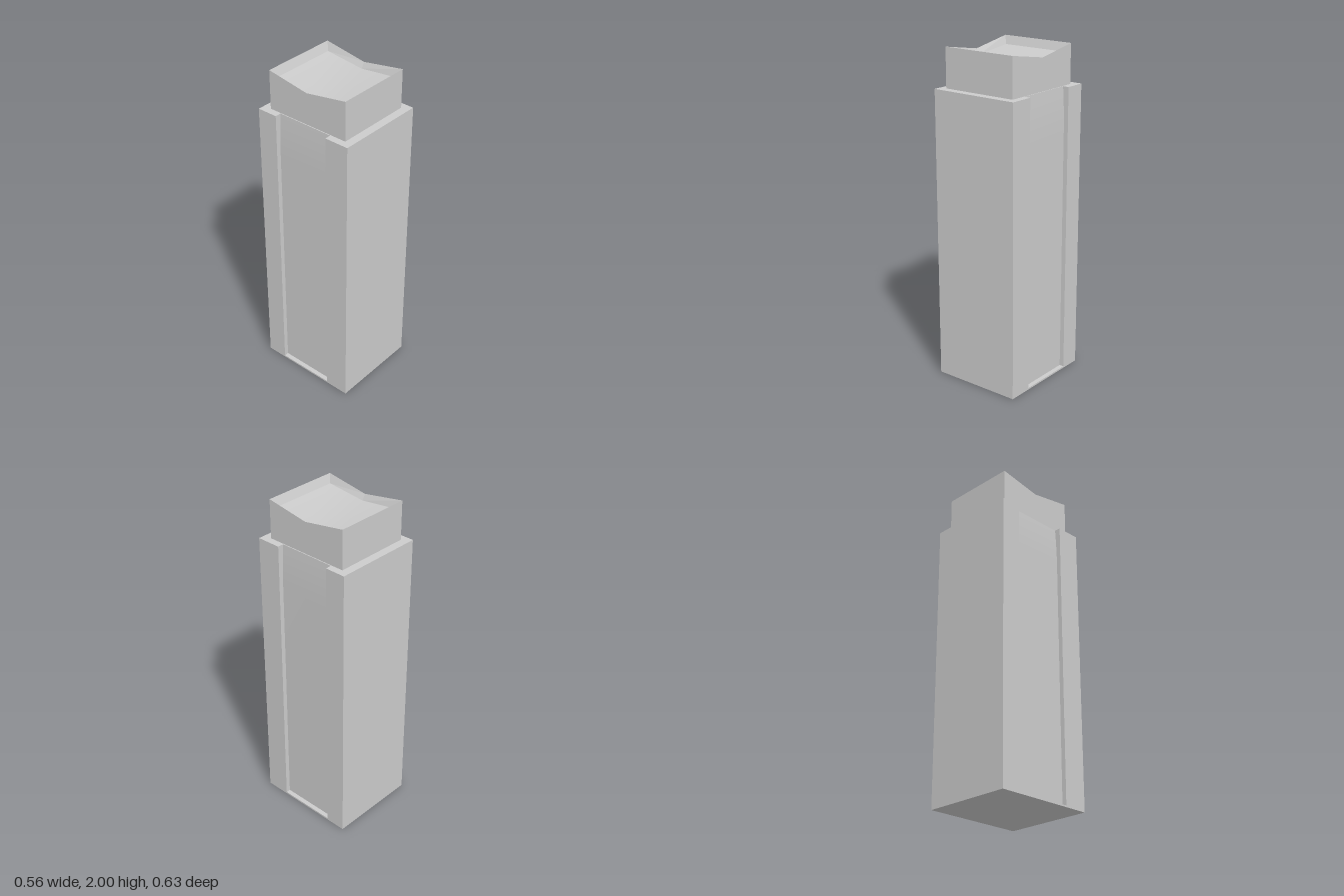
import * as THREE from 'three';
import { toCreasedNormals } from 'three/addons/utils/BufferGeometryUtils.js';

const material = new THREE.MeshStandardMaterial({ color: 0xcccccc });
const HALF_X = 0.28, HALF_Z = 0.317, BODY_TOP = 1.765;
const GROOVE_BACK = -0.19, GROOVE_FRONT = 0.167, LEDGE = 0.01;
const CAP_X = 0.237, CAP_Z = 0.267;

function add(parent, name, geometry) {
  const mesh = new THREE.Mesh(geometry, material);
  mesh.name = name;
  parent.add(mesh);
}

// Box given by its z range and height range, centred on x
function block(z0, z1, y0, y1) {
  return new THREE.BoxGeometry(HALF_X * 2, y1 - y0, z1 - z0)
    .translate(0, (y0 + y1) / 2, (z0 + z1) / 2);
}

// Core between the side grooves; its sides curve inward near the top
function coreGeometry() {
  const side = [[0.252, LEDGE], [0.252, 1.5]];
  for (let i = 1; i <= 6; i++) {
    const t = i / 6;
    side.push([0.252 - 0.01 * t * t, 1.5 + (BODY_TOP - 1.5) * t]);
  }
  const mirrored = side.map(([x, y]) => [-x, y]).reverse();
  const shape = new THREE.Shape([...side, ...mirrored].map(([x, y]) => new THREE.Vector2(x, y)));
  const geometry = new THREE.ExtrudeGeometry(shape, { depth: GROOVE_FRONT - GROOVE_BACK, bevelEnabled: false });
  return toCreasedNormals(geometry.translate(0, 0, GROOVE_BACK), 0.4);
}

// Ring of six points around the cap, with the side midpoints set lower
function capRing(x, z, yEnd, yMid) {
  return [[x, yEnd, z], [x, yMid, 0], [x, yEnd, -z], [-x, yEnd, -z], [-x, yMid, 0], [-x, yEnd, z]];
}

// Outer walls and sloping inner lip, lofted through the rings
function rimGeometry(rings) {
  const positions = [];
  for (let r = 0; r < rings.length - 1; r++) {
    for (let i = 0; i < 6; i++) {
      const j = (i + 1) % 6;
      const a = rings[r][i], b = rings[r][j], c = rings[r + 1][j], d = rings[r + 1][i];
      positions.push(...a, ...b, ...c, ...a, ...c, ...d);
    }
  }
  const geometry = new THREE.BufferGeometry();
  geometry.setAttribute('position', new THREE.Float32BufferAttribute(positions, 3));
  geometry.computeVertexNormals();
  return geometry;
}

// Shallow valley with smooth shading inside the rim
function dishGeometry(x, z, yEnd, yMid) {
  const geometry = new THREE.PlaneGeometry(x * 2, z * 2, 1, 2).rotateX(-Math.PI / 2);
  const p = geometry.attributes.position;
  for (let i = 0; i < p.count; i++) {
    p.setY(i, yMid + (yEnd - yMid) * Math.abs(p.getZ(i)) / z);
  }
  geometry.computeVertexNormals();
  return geometry;
}

export function createModel() {
  const model = new THREE.Group();
  model.name = 'keySwitchTower';

  const body = new THREE.Group();
  body.name = 'body';
  add(body, 'frontBlock', block(GROOVE_FRONT, HALF_Z, 0, BODY_TOP));
  add(body, 'backBlock', block(-HALF_Z, GROOVE_BACK, 0, BODY_TOP));
  add(body, 'grooveLedge', block(GROOVE_BACK, GROOVE_FRONT, 0, LEDGE));
  add(body, 'core', coreGeometry());

  const cap = new THREE.Group();
  cap.name = 'cap';
  add(cap, 'rim', rimGeometry([
    capRing(CAP_X, CAP_Z, BODY_TOP, BODY_TOP),
    capRing(CAP_X, CAP_Z, 2, 1.955),
    capRing(0.216, 0.245, 1.95, 1.922),
  ]));
  add(cap, 'dish', dishGeometry(0.216, 0.245, 1.95, 1.922));

  model.add(body, cap);
  return model;
}
